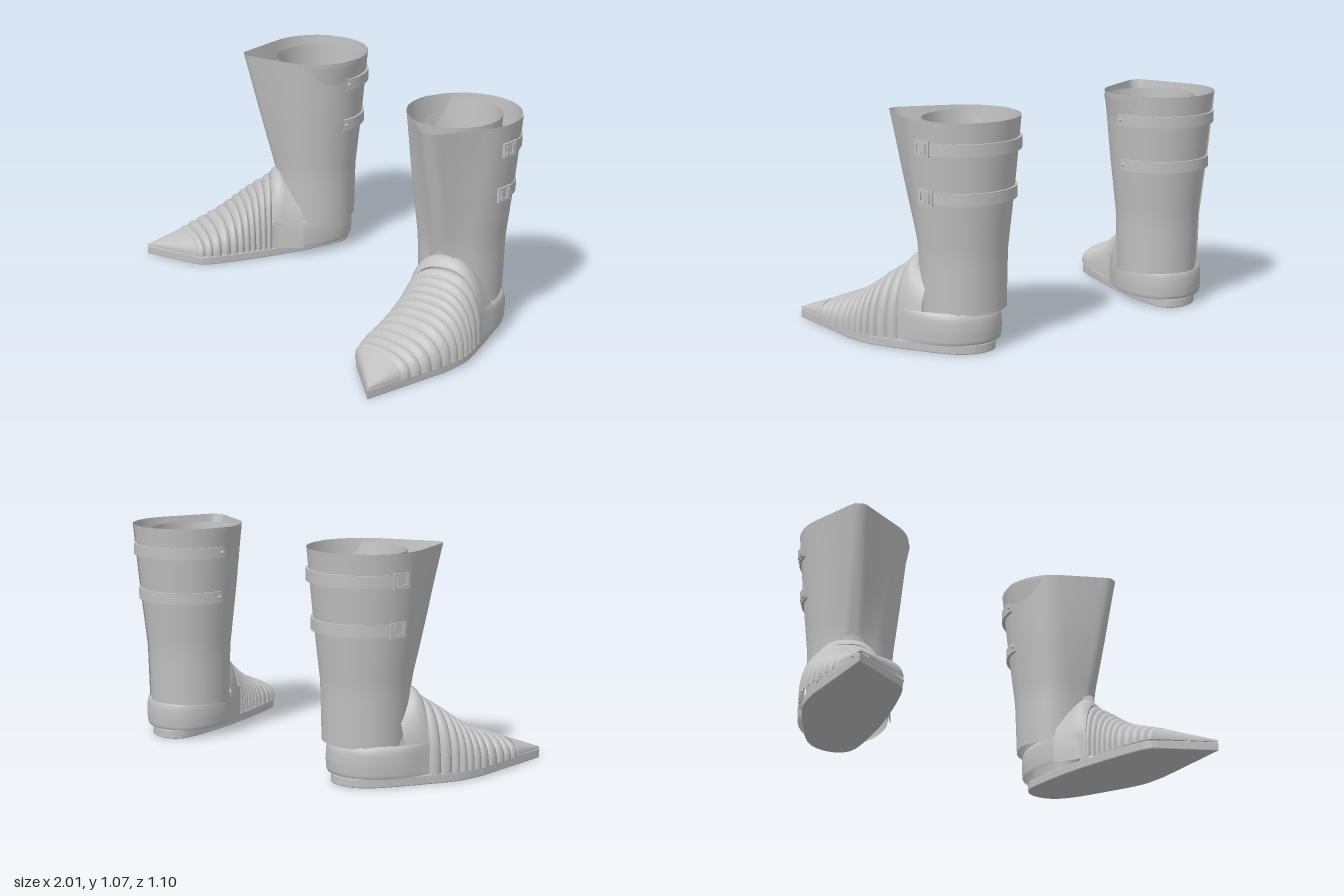
import * as THREE from 'three';

const steel = new THREE.MeshStandardMaterial({ color: 0xc0c0c0, side: THREE.DoubleSide });
steel.name = 'steel';

const CX = 0.597, CZ = -0.282, TURN = 0.42; // shaft centre and outward turn of the foot
const rad = THREE.MathUtils.degToRad;

// Piecewise-linear lookup in rows [key, value...] with rising keys
function lookup(rows, k, col) {
  let i = 0;
  while (i < rows.length - 2 && k > rows[i + 1][0]) i++;
  const [a, b] = [rows[i], rows[i + 1]];
  return THREE.MathUtils.lerp(a[col], b[col], THREE.MathUtils.clamp((k - a[0]) / (b[0] - a[0]), 0, 1));
}

// Grid surface from a rule f(u, v) -> [x, y, z]
function loft(name, nu, nv, f) {
  const pos = [], idx = [];
  for (let i = 0; i <= nu; i++) for (let j = 0; j <= nv; j++) pos.push(...f(i / nu, j / nv));
  for (let i = 0; i < nu; i++) for (let j = 0; j < nv; j++) {
    const a = i * (nv + 1) + j, b = a + nv + 1;
    idx.push(a, b, a + 1, b, b + 1, a + 1);
  }
  const g = new THREE.BufferGeometry();
  g.setAttribute('position', new THREE.Float32BufferAttribute(pos, 3));
  g.setIndex(idx);
  g.computeVertexNormals();
  const mesh = new THREE.Mesh(g, steel);
  mesh.name = name;
  return mesh;
}

// Shaft section: circle radius and distance of the front point, by height
const SHAFT = [[0.16, 0.2, 0.206], [0.45, 0.207, 0.243], [0.75, 0.24, 0.325], [1.07, 0.27, 0.408]];
function shaftPoint(phi, y, grow = 0) {
  const R = lookup(SHAFT, y, 1), F = lookup(SHAFT, y, 2);
  const p = Math.abs(Math.atan2(Math.sin(phi), Math.cos(phi)));
  const p0 = Math.acos(R / F);
  let r = p < p0 ? R / Math.cos(p0 - p) : R;
  r = Math.min(r, F * 0.925 / Math.cos(Math.min(p, 1) * 0.8)) + grow; // blunt front
  return [CX + r * Math.sin(TURN + phi), y, CZ + r * Math.cos(TURN + phi)];
}
const CUT = [[0, 0.45], [13, 0.43], [66, 0.165], [115, 0.18], [180, 0.185]];
const cutY = phi => lookup(CUT, Math.abs(phi) * 180 / Math.PI, 1);

// Foot stations, toe to ankle: outer edge, inner edge and ridge height
const OUTER = [[0.975, 0.37], [0.987, 0.25], [0.987, 0.12], [0.977, 0.02], [0.947, -0.06], [0.89, -0.165]];
const INNER = [[0.7, 0.41], [0.655, 0.33], [0.625, 0.23], [0.605, 0.155], [0.588, 0.09], [0.565, 0.03]];
const RIDGE = [0.112, 0.152, 0.2, 0.253, 0.31, 0.37];
const outerCurve = new THREE.CatmullRomCurve3(OUTER.map(([x, z]) => new THREE.Vector3(x, 0, z)));
const innerCurve = new THREE.CatmullRomCurve3(INNER.map(([x, z], i) => new THREE.Vector3(x, RIDGE[i], z)));

// Arch across the foot from the outer edge a to the inner edge b
function arch(v, a, b, top, bulge = 0) {
  const c = Math.cos(v * Math.PI), s = Math.sin(v * Math.PI), e = 0.8;
  const half = Math.hypot(a[0] - b[0], a[1] - b[1]) / 2;
  const k = Math.sign(c) * Math.abs(c) ** e * (1 + bulge / Math.max(half, 0.01)) / 2;
  const base = 0.047;
  return [(a[0] + b[0]) / 2 + (a[0] - b[0]) * k,
    base + (top - base + bulge) * Math.max(s, 0) ** e,
    (a[1] + b[1]) / 2 + (a[1] - b[1]) * k];
}

// Flat sole with a sharp toe and a rounded heel
function makeSole() {
  const side = [[0.98, 0.12], [0.955, -0.03], [0.87, -0.2], [0.77, -0.37], [0.69, -0.445], [0.6, -0.464],
    [0.53, -0.43], [0.507, -0.34], [0.535, -0.1], [0.59, 0.14], [0.66, 0.36], [0.71, 0.415]];
  const curve = new THREE.SplineCurve(side.map(p => new THREE.Vector2(...p)));
  const shape = new THREE.Shape([new THREE.Vector2(0.975, 0.55), ...curve.getPoints(66)]);
  const g = new THREE.ExtrudeGeometry(shape, {
    depth: 0.035, bevelThickness: 0.005, bevelSize: 0.005, bevelOffset: -0.005, bevelSegments: 2 });
  g.rotateX(Math.PI / 2).translate(0, 0.04, 0);
  const sole = new THREE.Mesh(g, steel);
  sole.name = 'sole';
  return sole;
}

function makeFoot() {
  const foot = new THREE.Group();
  foot.name = 'footArmour';
  // Pointed toe cap
  const tip = [0.975, 0.548];
  const mix = (p, q, t) => [p[0] + (q[0] - p[0]) * t, p[1] + (q[1] - p[1]) * t];
  foot.add(loft('toeCap', 8, 28, (u, v) =>
    arch(v, mix(tip, OUTER[0], u), mix(tip, INNER[0], u), 0.056 + 0.06 * u, 0.008 * u)));
  // Overlapping bulged plates
  const count = 11;
  for (let i = 0; i < count; i++) {
    foot.add(loft('footPlate' + (i + 1), 8, 32, (u, v) => {
      const t = Math.min((i + u) / count, 1);
      const a = outerCurve.getPoint(t), b = innerCurve.getPoint(t);
      return arch(v, [a.x, a.z], [b.x, b.z], b.y, 0.015 * Math.max(Math.sin(u * Math.PI), 0) ** 0.6);
    }));
  }
  // Ankle arch between the plates and the shaft
  const A = [[0, 0.888, -0.16], [0.3, 0.877, -0.19], [1, 0.845, -0.28]];
  const B = [[0, 0.563, 0.03], [0.3, 0.535, 0], [1, 0.465, -0.1]];
  const H = [[0, 0.385], [0.15, 0.415], [0.4, 0.425], [1, 0.36]];
  foot.add(loft('ankleArch', 10, 32, (u, v) =>
    arch(v, [lookup(A, u, 1), lookup(A, u, 2)], [lookup(B, u, 1), lookup(B, u, 2)], lookup(H, u, 1))));
  // Heel cup, open to the front, its rim blending into the arch
  const heel = new THREE.CatmullRomCurve3([[0.888, -0.16], [0.847, -0.31], [0.757, -0.43], [0.62, -0.478],
    [0.5, -0.435], [0.442, -0.32], [0.46, -0.14], [0.557, 0.03]].map(([x, z]) => new THREE.Vector3(x, 0, z)));
  const wall = [[0, 0.047, 0.97], [0.2, 0.06, 0.99], [0.5, 0.11, 1], [0.75, 0.16, 0.99], [0.9, 0.185, 0.96], [1, 0.195, 0.9]];
  foot.add(loft('heelCup', 40, 14, (u, v) => {
    const p = heel.getPoint(u), y = lookup(wall, v, 1);
    const k = 1 + (lookup(wall, v, 2) - 1) * Math.min(1, Math.sin(Math.PI * u) * 1.6) ;
    return [0.65 + (p.x - 0.65) * k, y, -0.2 + (p.z + 0.2) * k];
  }));
  return foot;
}

function makeShaft() {
  const shaft = new THREE.Group();
  shaft.name = 'shaft';
  const plate = (name, from, to, grow) => loft(name, 72, 16, (u, v) => {
    const phi = rad(from + (to - from) * u);
    const low = cutY(Math.atan2(Math.sin(phi), Math.cos(phi)));
    return shaftPoint(phi, 1.07 + (low - 1.07) * (1 - v), grow);
  });
  shaft.add(plate('frontShinPlate', -115, 115, 0), plate('backCalfPlate', 112, 248, -0.006));
  // Inner leg tube leaning inward: height, radius x, radius z, centre x, centre z
  const tube = [[0.047, 0.1, 0.145, 0.607, -0.29], [0.3, 0.135, 0.148, 0.604, -0.291], [0.5, 0.15, 0.16, 0.59, -0.285],
    [0.75, 0.188, 0.19, 0.565, -0.275], [1.05, 0.222, 0.222, 0.543, -0.268]];
  shaft.add(loft('innerTube', 48, 20, (u, v) => {
    const y = 0.047 + 1.003 * v, a = u * Math.PI * 2, at = col => lookup(tube, y, col);
    return [at(3) + at(1) * Math.sin(a), y, at(4) + at(2) * Math.cos(a)];
  }));
  return shaft;
}

// Strap round the back with a buckle outside and a hinge bolt inside
function makeStrap(y) {
  const strap = new THREE.Group();
  strap.name = 'strap';
  const ring = [[-0.028, -0.006], [-0.028, 0.008], [0.028, 0.008], [0.028, -0.006]];
  for (let k = 0; k < 3; k++) {
    strap.add(loft('strapBand', 48, 1, (u, v) => {
      const [dy, grow] = ring[k + v];
      const p = shaftPoint(rad(80 + 167 * u), y, grow);
      return [p[0], y + dy, p[2]];
    }));
  }
  const buckle = new THREE.Group();
  buckle.name = 'buckle';
  const phi = rad(77);
  buckle.position.set(...shaftPoint(phi, y, 0.004));
  buckle.rotation.y = TURN + phi;
  const box = (w, h, d, x, by, z) => {
    const m = new THREE.Mesh(new THREE.BoxGeometry(w, h, d), steel);
    m.position.set(x, by, z);
    m.name = 'bucklePart';
    buckle.add(m);
  };
  box(0.085, 0.07, 0.014, 0, 0, 0);
  box(0.018, 0.05, 0.012, 0.02, 0, 0.008);
  box(0.01, 0.045, 0.012, -0.028, 0, 0.008);
  box(0.03, 0.01, 0.012, -0.012, -0.02, 0.008);
  strap.add(buckle);
  const bolt = new THREE.Mesh(new THREE.SphereGeometry(0.009, 12, 8), steel);
  bolt.name = 'hingeBolt';
  bolt.position.set(...shaftPoint(rad(243), y, 0.008));
  strap.add(bolt);
  return strap;
}

export function createModel() {
  const model = new THREE.Group();
  model.name = 'armouredBoots';
  for (const side of [1, -1]) {
    const boot = new THREE.Group();
    boot.name = side > 0 ? 'leftBoot' : 'rightBoot';
    boot.add(makeSole(), makeFoot(), makeShaft(), makeStrap(0.948), makeStrap(0.725));
    boot.scale.x = side;
    model.add(boot);
  }
  return model;
}
